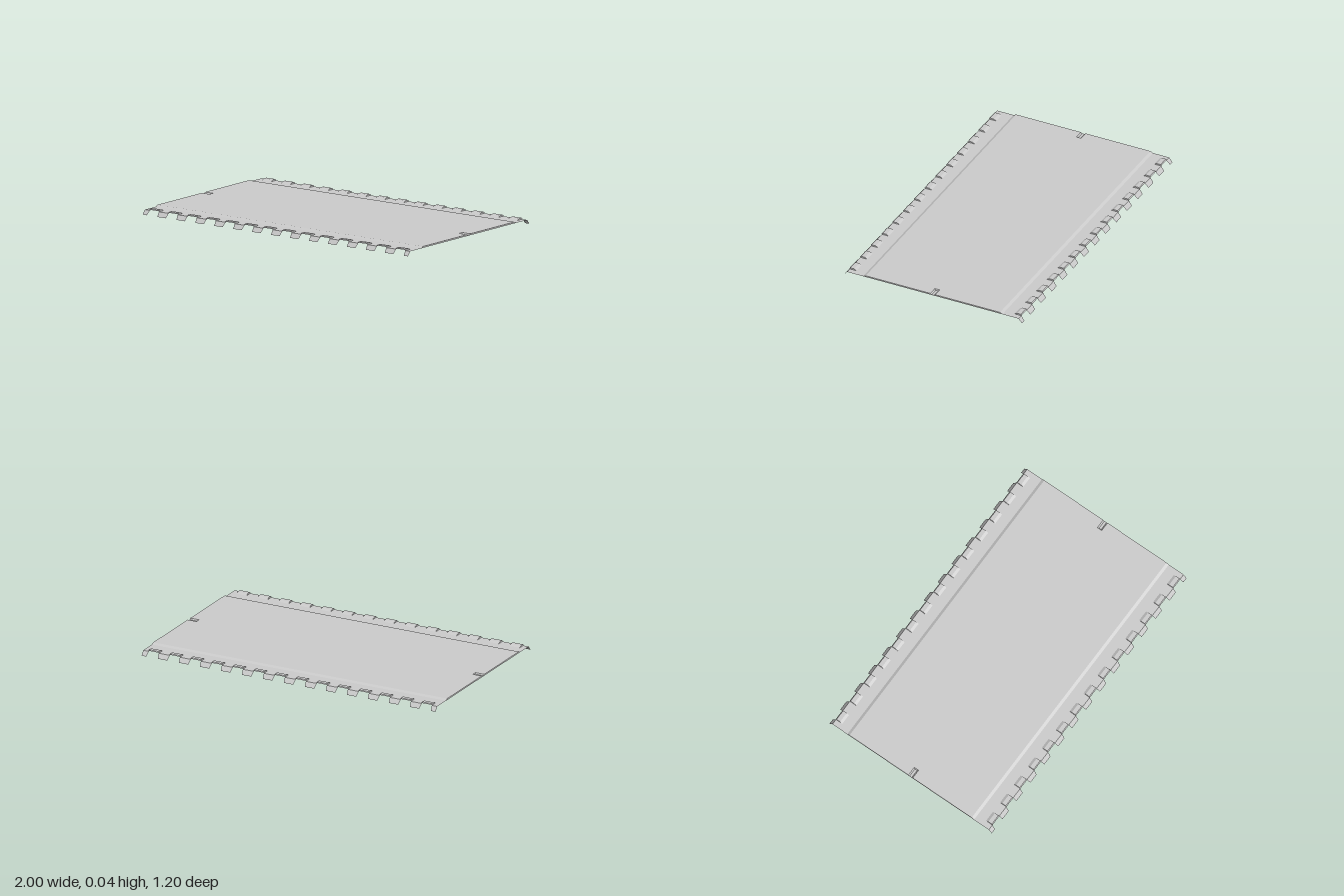
import * as THREE from 'three';

const BASE = 0.027, TOP = 0.036;   // heights of the flat rim and the raised field
const PITCH = 1 / 7, TAB = 0.037;  // tab spacing and half width
const material = new THREE.MeshStandardMaterial({ color: 0xcccccc, side: THREE.DoubleSide });

// Flat-shaded mesh from a list of convex polygons (arrays of [x, y, z])
function polyMesh(name, polys) {
  const pos = [];
  for (const p of polys)
    for (let i = 1; i < p.length - 1; i++) pos.push(...p[0], ...p[i], ...p[i + 1]);
  const geo = new THREE.BufferGeometry();
  geo.setAttribute('position', new THREE.Float32BufferAttribute(pos, 3));
  geo.computeVertexNormals();
  const mesh = new THREE.Mesh(geo, material);
  mesh.name = name;
  return mesh;
}

// Sheet following a [z, y] profile between x0 and x1, on the front (s = 1) or back (s = -1)
function sheet(profile, x0, x1, s) {
  const out = [];
  for (let i = 0; i < profile.length - 1; i++) {
    const [za, ya] = profile[i], [zb, yb] = profile[i + 1];
    const q = [[x0, ya, s * za], [x0, yb, s * zb], [x1, yb, s * zb], [x1, ya, s * za]];
    out.push(s > 0 ? q : q.reverse());
  }
  return out;
}

export function createModel() {
  const group = new THREE.Group();

  // Raised field with a notch in each end
  const zf = 0.45, nx = 0.94, nz = 0.016;
  const outline = [[1, -zf], [1, -nz], [nx, -nz], [nx, nz], [1, nz], [1, zf],
    [-1, zf], [-1, nz], [-nx, nz], [-nx, -nz], [-1, -nz], [-1, -zf]];
  const shape = new THREE.Shape(outline.map(([x, y]) => new THREE.Vector2(x, y)));
  const field = new THREE.Mesh(new THREE.ShapeGeometry(shape), material);
  field.geometry.rotateX(-Math.PI / 2);
  field.geometry.translate(0, TOP, 0);
  field.name = 'raisedField';
  group.add(field);

  // Sunken notches and the closing end walls
  const fz = 0.008, fx = 0.945, fy = 0.029;
  for (const e of [1, -1]) {
    const polys = [
      [[e, fy, -fz], [e * fx, fy, -fz], [e * fx, fy, fz], [e, fy, fz]],
      [[e * nx, TOP, -nz], [e * nx, TOP, nz], [e * fx, fy, fz], [e * fx, fy, -fz]],
    ];
    for (const s of [1, -1])
      polys.push([[e, TOP, s * nz], [e * nx, TOP, s * nz], [e * fx, fy, s * fz], [e, fy, s * fz]]);
    for (const p of polys) if (e < 0) p.reverse();
    group.add(polyMesh('endNotch', polys));

    const walls = [[[e, BASE, -fz], [e, fy, -fz], [e, fy, fz], [e, BASE, fz]]];
    for (const s of [1, -1])
      walls.push([[e, BASE, s * fz], [e, fy, s * fz], [e, TOP, s * nz],
        [e, TOP, s * zf], [e, BASE, s * 0.467]]);
    group.add(polyMesh('endWall', walls));
  }

  // Rims, hanging tabs and the raised pockets between the tabs
  const rimProfile = [[zf, TOP], [0.467, BASE], [0.53, BASE]];
  const bump = [[0.53, BASE], [0.546, TOP], [0.572, TOP], [0.578, 0.031]];
  for (const s of [1, -1]) {
    group.add(polyMesh('rim', sheet(rimProfile, -1, 1, s)));
    const tabs = [], pockets = [];
    for (let k = -7; k <= 7; k++) {
      const c = k * PITCH;
      const clip = x => Math.max(-1, Math.min(1, x));
      const a = clip(c - TAB), b = clip(c + TAB);
      tabs.push(...sheet([[0.53, BASE], [0.576, BASE]], a, b, s));
      const tab = [[a, BASE, s * 0.576], [clip(c - TAB + 0.005), 0, s * 0.598],
        [clip(c + TAB - 0.005), 0, s * 0.598], [b, BASE, s * 0.576]];
      tabs.push(s > 0 ? tab : tab.reverse());
      if (k === 7) continue;
      const x0 = c + TAB, x1 = c + PITCH - TAB;
      pockets.push(...sheet(bump, x0, x1, s));
      for (const x of [x0, x1]) {
        const side = [...bump, [0.576, BASE]].map(([z, y]) => [x, y, s * z]);
        pockets.push((x === x1) === (s > 0) ? side.reverse() : side);
      }
    }
    group.add(polyMesh('edgeTabs', tabs), polyMesh('edgePockets', pockets));
  }
  return group;
}
